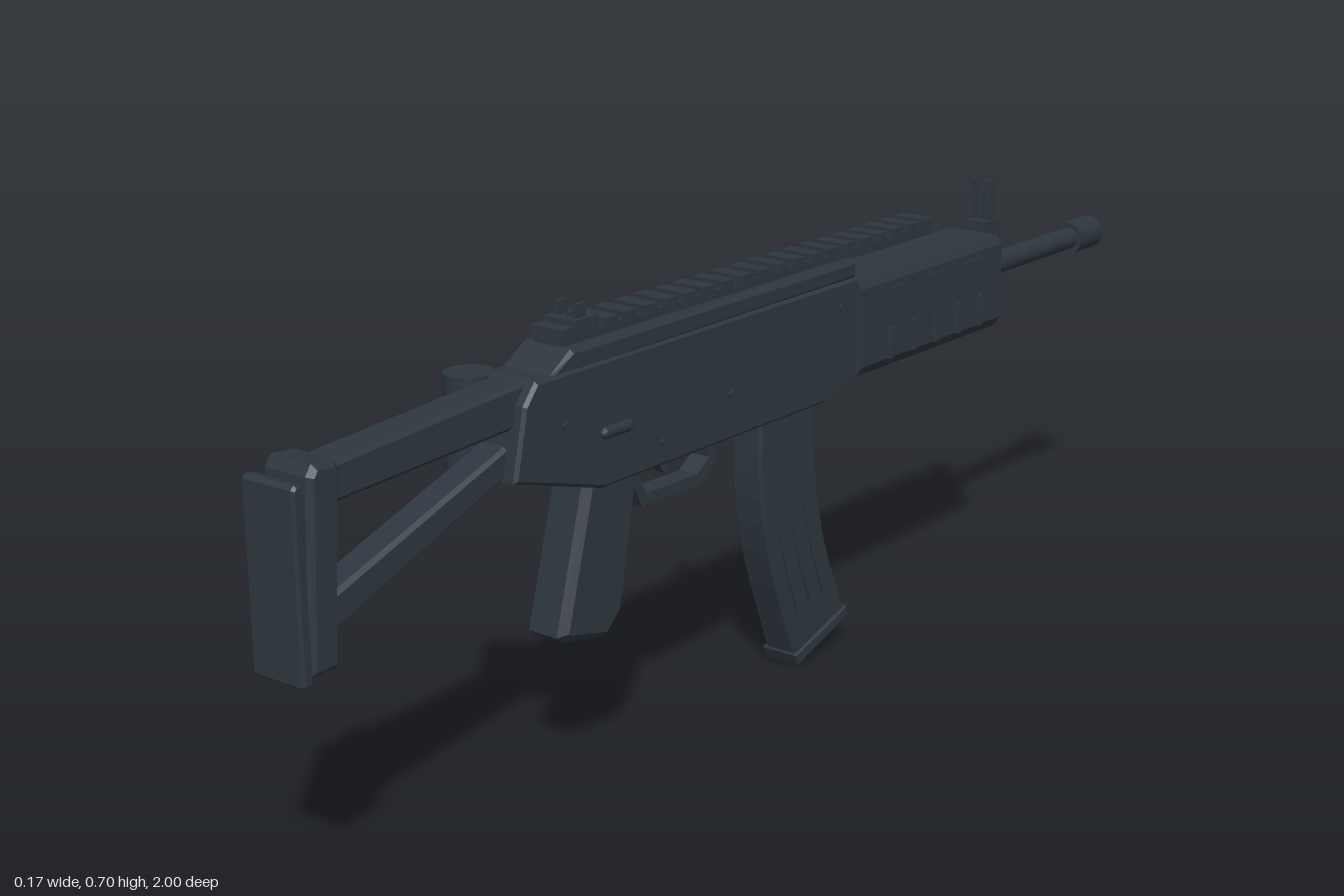
import * as THREE from 'three';

export function createModel() {
  const group = new THREE.Group();
  const gunmetal = new THREE.MeshStandardMaterial({ color: 0x2d363e });
  gunmetal.name = 'gunmetal';
  const CX = 0.02; // centre plane of the body

  const add = (name, geometry, x = 0, y = 0, z = 0) => {
    const mesh = new THREE.Mesh(geometry, gunmetal);
    mesh.name = name;
    mesh.position.set(x, y, z);
    group.add(mesh);
    return mesh;
  };

  // Side profile of [z, y] points, extruded across x to a full width with bevelled edges
  const profile = (name, pts, width, bevel = 0, cx = CX) => {
    const shape = new THREE.Shape(pts.map(p => new THREE.Vector2(p[0], p[1])));
    const geometry = new THREE.ExtrudeGeometry(shape, {
      depth: width - 2 * bevel, bevelEnabled: bevel > 0, bevelSize: bevel,
      bevelOffset: -bevel, bevelThickness: bevel, bevelSegments: 1,
    });
    geometry.translate(0, 0, -(width - 2 * bevel) / 2);
    geometry.rotateY(-Math.PI / 2);
    return add(name, geometry, cx);
  };

  const box = (name, x0, x1, y0, y1, z0, z1) =>
    add(name, new THREE.BoxGeometry(x1 - x0, y1 - y0, z1 - z0),
      (x0 + x1) / 2, (y0 + y1) / 2, (z0 + z1) / 2);

  const barrelTube = (name, r, z0, z1) =>
    add(name, new THREE.CylinderGeometry(r, r, z1 - z0, 24).rotateX(Math.PI / 2),
      CX, 0.545, (z0 + z1) / 2);

  // Receiver and top cover
  profile('receiver', [[0.557, 0.62], [0.582, 0.59], [0.605, 0.487], [0.423, 0.434],
    [-0.11, 0.434], [-0.195, 0.46], [-0.195, 0.62]], 0.098, 0.005);
  profile('topCover', [[0.525, 0.618], [0.48, 0.648], [-0.195, 0.648], [-0.195, 0.618]], 0.094, 0.006);
  for (const side of [-1, 1]) {
    const x = CX + side * 0.05;
    const lever = add('selector', new THREE.CapsuleGeometry(0.009, 0.05, 3, 10).rotateX(Math.PI / 2), x, 0.515, 0.395);
    lever.scale.x = 0.9;
    for (const [z, y] of [[0.29, 0.47], [0.13, 0.505], [-0.15, 0.58], [0.5, 0.545]])
      add('pin', new THREE.CylinderGeometry(0.006, 0.006, 0.004, 10).rotateZ(Math.PI / 2), x, y, z);
  }
  box('chargingHandle', -0.086, -0.025, 0.565, 0.585, 0.06, 0.08);

  // Handguard with raised ribs on both sides
  const hg = [[-0.043, 0.474], [-0.03, 0.457], [0.07, 0.457], [0.083, 0.474],
    [0.081, 0.6], [0.07, 0.614], [-0.03, 0.614], [-0.041, 0.6]];
  const hgShape = new THREE.Shape(hg.map(p => new THREE.Vector2(CX + (p[0] - CX) * 0.93, p[1])));
  add('handguard', new THREE.ExtrudeGeometry(hgShape, { depth: 0.412, bevelEnabled: false }), 0, 0, -0.607);
  for (const side of [-1, 1]) {
    const x = CX + side * 0.06;
    for (let i = 0; i < 5; i++) {
      const z = -0.272 - i * 0.066;
      box('handguardRib', x - 0.004, x + 0.004, 0.474, 0.525, z - 0.005, z + 0.005);
    }
    for (let i = 0; i < 3; i++) {
      const z = -0.29 - i * 0.11;
      box('handguardVent', x - 0.002, x + 0.002, 0.582, 0.59, z - 0.03, z + 0.03);
    }
  }

  // Top rail with evenly spaced teeth
  box('railBase', -0.006, 0.046, 0.645, 0.661, -0.44, 0.48);
  for (let i = 0; i < 21; i++) {
    const z = 0.468 - i * 0.0445;
    box('railTooth', -0.01, 0.05, 0.657, 0.672, z - 0.013, z + 0.013);
  }

  // Barrel, muzzle device and gas block
  barrelTube('barrel', 0.0195, -0.94, -0.6);
  barrelTube('barrelCollar', 0.03, -0.65, -0.6);
  barrelTube('muzzleDevice', 0.029, -1, -0.925);
  box('gasBlock', 0.002, 0.038, 0.55, 0.6, -0.648, -0.607);
  box('frontSightBase', -0.003, 0.043, 0.588, 0.632, -0.653, -0.61);

  // Sights: two ears and a post
  const sight = (name, z, y0) => {
    for (const s of [-1, 1])
      box(name + 'Ear', CX + s * 0.017 - 0.004, CX + s * 0.017 + 0.004, y0, 0.7, z - 0.01, z + 0.01);
    box(name + 'Post', CX - 0.003, CX + 0.003, y0, 0.685, z - 0.005, z + 0.005);
  };
  sight('frontSight', -0.631, 0.63);
  sight('rearSight', 0.432, 0.67);
  box('rearSightBase', -0.008, 0.048, 0.66, 0.68, 0.405, 0.455);

  // Pistol grip
  profile('pistolGrip', [[0.444, 0.445], [0.505, 0.228], [0.492, 0.218], [0.405, 0.198],
    [0.369, 0.232], [0.327, 0.445]], 0.076, 0.012);

  // Trigger guard loop and trigger
  profile('triggerGuard', [[0.338, 0.436], [0.302, 0.368], [0.168, 0.366], [0.126, 0.396], [0.136, 0.436],
    [0.152, 0.436], [0.144, 0.404], [0.174, 0.384], [0.293, 0.386], [0.32, 0.436]], 0.035);
  profile('trigger', [[0.268, 0.44], [0.24, 0.402], [0.23, 0.408], [0.244, 0.44]], 0.016);

  // Curved magazine: side ribs are strips between its rear and front edges
  const rear = [[0.032, 0.44], [0.032, 0.348], [0.01, 0.214], [-0.062, 0.015]];
  const front = [[-0.107, 0.44], [-0.112, 0.33], [-0.14, 0.198], [-0.197, 0.06]];
  const smooth = pts => new THREE.CatmullRomCurve3(pts.map(p => new THREE.Vector3(p[0], p[1], 0)));
  const rearCurve = smooth(rear), frontCurve = smooth(front);
  const strip = (a, b, u1) => {
    const at = (t, u) => {
      const p = rearCurve.getPoint(u).lerp(frontCurve.getPoint(u), t);
      return [p.x, p.y];
    };
    const us = Array.from({ length: 10 }, (_, i) => (i / 9) * u1);
    return [...us.map(u => at(a, u)), ...us.reverse().map(u => at(b, u))];
  };
  profile('magazine', strip(0, 1, 1), 0.06, 0.005);
  for (const t of [0.2, 0.45, 0.7]) profile('magazineRib', strip(t, t + 0.09, 0.88), 0.066);
  profile('magazineBase', [[-0.054, 0.022], [-0.064, 0.002], [-0.203, 0.047], [-0.196, 0.066]], 0.068, 0.003);

  // Skeleton stock: upper bar, lower strut, post and butt plate
  profile('stockUpperBar', [[0.93, 0.594], [0.55, 0.618], [0.57, 0.556], [0.93, 0.54]], 0.062, 0.006);
  profile('stockLowerStrut', [[0.94, 0.414], [0.59, 0.535], [0.59, 0.492], [0.94, 0.363]], 0.052, 0.006);
  profile('stockPost', [[0.968, 0.59], [0.958, 0.605], [0.92, 0.602], [0.914, 0.588],
    [0.932, 0.327], [0.981, 0.327]], 0.088, 0.008);
  profile('buttSpacer', [[0.99, 0.57], [0.96, 0.57], [0.97, 0.338], [0.99, 0.338]], 0.07);
  profile('buttPlate', [[1, 0.582], [0.994, 0.588], [0.983, 0.586], [0.981, 0.32], [0.994, 0.317], [1, 0.322]], 0.094, 0.004);

  // Folding hinge on the side
  add('hingeBarrel', new THREE.CylinderGeometry(0.036, 0.036, 0.142, 24), -0.05, 0.546, 0.565);
  return group;
}
